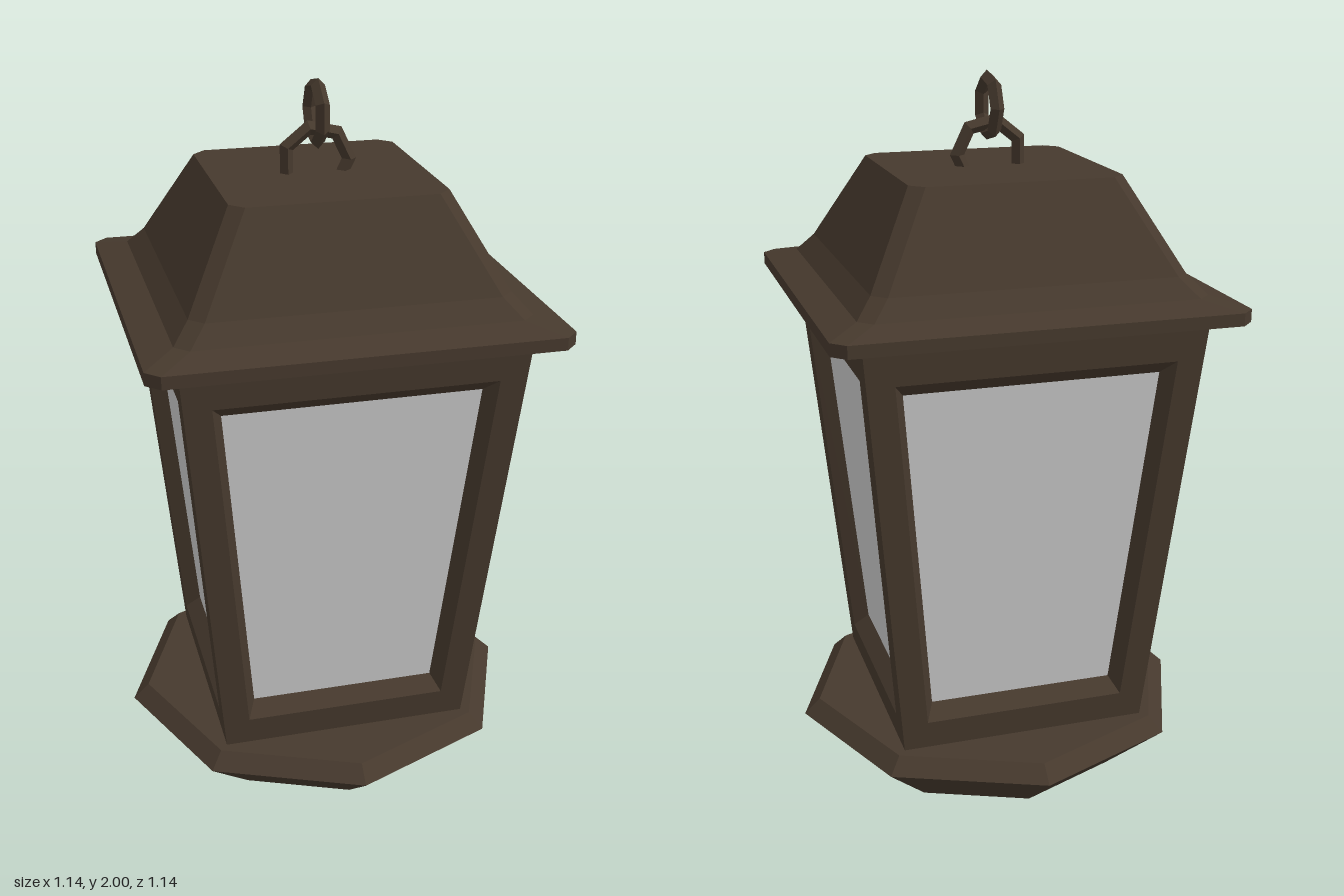
import * as THREE from 'three';

const metal = new THREE.MeshStandardMaterial({ color: 0x46392d, flatShading: true });
const glass = new THREE.MeshStandardMaterial({ color: 0xcccccc, flatShading: true });

// Joins matching loops of points with faces; optionally closes the first and last loop.
function loft(loops, capStart = false, capEnd = false) {
  const pos = [];
  const tri = (a, b, c) => pos.push(...a, ...b, ...c);
  const n = loops[0].length;
  for (let k = 0; k < loops.length - 1; k++) {
    for (let i = 0; i < n; i++) {
      const j = (i + 1) % n, lo = loops[k], hi = loops[k + 1];
      tri(lo[i], lo[j], hi[j]);
      tri(lo[i], hi[j], hi[i]);
    }
  }
  const first = loops[0], last = loops[loops.length - 1];
  for (let i = 1; i < n - 1; i++) {
    if (capStart) tri(first[0], first[i + 1], first[i]);
    if (capEnd) tri(last[0], last[i], last[i + 1]);
  }
  const geo = new THREE.BufferGeometry();
  geo.setAttribute('position', new THREE.Float32BufferAttribute(pos, 3));
  geo.computeVertexNormals();
  return geo;
}

// Horizontal square loop with cut corners
function squareLoop(h, y, cut = 0.036) {
  const c = h - cut;
  return [[-c, y, h], [c, y, h], [h, y, c], [h, y, -c],
    [c, y, -h], [-c, y, -h], [-h, y, -c], [-h, y, c]];
}

// Half-width of the flared body at height y
const bodyHalf = (y) => 0.35 + (y - 0.19) * 0.11 / 1.19;

// Trapezoid loop lying on the front wall, pushed inwards by depth
function wallLoop(bottomHalf, topHalf, y0, y1, depth = 0) {
  const z0 = bodyHalf(y0) - depth, z1 = bodyHalf(y1) - depth;
  return [[-bottomHalf, y0, z0], [bottomHalf, y0, z0], [topHalf, y1, z1], [-topHalf, y1, z1]];
}

export function createModel() {
  const model = new THREE.Group();
  const add = (name, geo, mat = metal, parent = model) => {
    const mesh = new THREE.Mesh(geo, mat);
    mesh.name = name;
    parent.add(mesh);
    return mesh;
  };

  // Octagonal foot with bevelled rim
  add('base', new THREE.CylinderGeometry(0.57, 0.395, 0.152, 8)).position.y = 0.076;
  add('baseRim', new THREE.CylinderGeometry(0.525, 0.57, 0.043, 8)).position.y = 0.1735;

  // Four flared walls, each with a bevelled opening and a recessed pane
  const outer = wallLoop(bodyHalf(0.19), bodyHalf(1.38), 0.19, 1.38);
  const opening = wallLoop(0.285, 0.378, 0.275, 1.29);
  const recess = wallLoop(0.262, 0.348, 0.315, 1.25, 0.045);
  const frameGeo = loft([outer, opening, recess]);
  const paneGeo = loft([recess], false, true);
  ['front', 'left', 'back', 'right'].forEach((side, i) => {
    const wall = new THREE.Group();
    wall.name = side + 'Wall';
    wall.rotation.y = i * Math.PI / 2;
    add(side + 'Frame', frameGeo, metal, wall);
    add(side + 'Pane', paneGeo, glass, wall);
    model.add(wall);
  });

  // Roof with projecting eaves and a flat top
  const roofProfile = [[0.42, 1.372], [0.55, 1.40], [0.55, 1.434], [0.465, 1.457], [0.42, 1.508], [0.288, 1.75]];
  add('roof', loft(roofProfile.map(([h, y]) => squareLoop(h, y)), true, true));

  // Two interlocked hanging links
  add('lowerLink', new THREE.TorusGeometry(0.09, 0.02, 4, 7)).position.y = 1.78;
  const upper = add('upperLink', new THREE.TorusGeometry(0.076, 0.019, 4, 7));
  upper.position.y = 1.907;
  upper.rotation.y = Math.PI / 2;

  return model;
}
